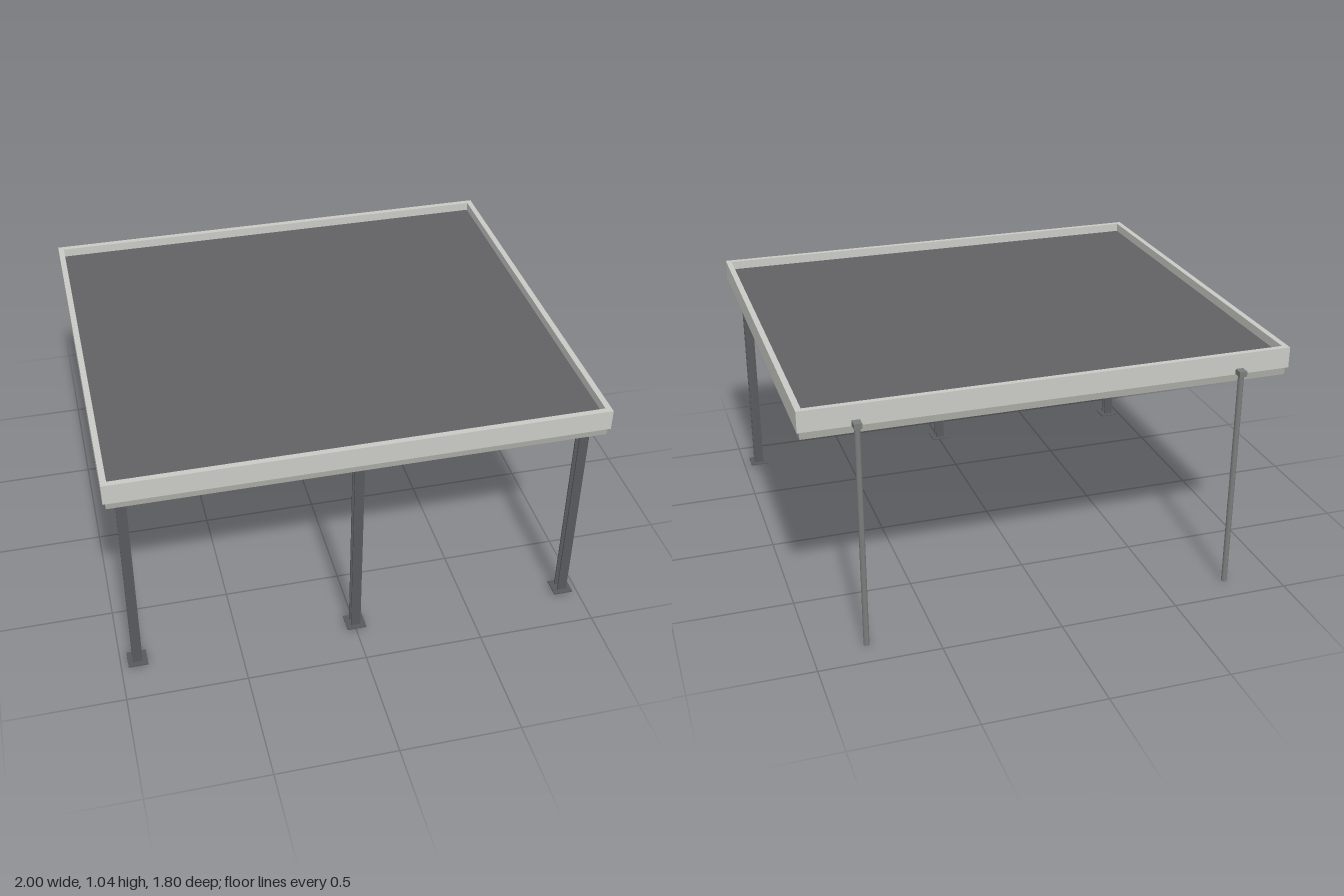
import * as THREE from 'three';

const mat = (name, color) => Object.assign(new THREE.MeshStandardMaterial({ color }), { name });

export function createModel() {
  const root = new THREE.Group();
  root.name = 'canopy';
  const fasciaGrey = mat('fascia light grey', 0xc9c9c5);
  const trimGrey = mat('trim grey', 0xa9a9a3);
  const roofGrey = mat('roof dark grey', 0x616164);
  const steel = mat('column steel', 0x58595c);
  const pipeGrey = mat('pipe grey', 0x7b7c7c);
  const panelGrey = mat('ceiling panel grey', 0xbfbfba);

  const add = (parent, name, geo, material, x = 0, y = 0, z = 0) => {
    const mesh = new THREE.Mesh(geo, material);
    mesh.name = name;
    mesh.position.set(x, y, z);
    parent.add(mesh);
    return mesh;
  };
  // Box given by its min and max along each axis
  const box = (parent, name, material, [x0, x1], [y0, y1], [z0, z1]) =>
    add(parent, name, new THREE.BoxGeometry(x1 - x0, y1 - y0, z1 - z0), material,
      (x0 + x1) / 2, (y0 + y1) / 2, (z0 + z1) / 2);
  const group = (name, x, y, z) => {
    const g = new THREE.Group();
    g.name = name;
    g.position.set(x, y, z);
    root.add(g);
    return g;
  };
  const rect = (Cls, w, d) => new Cls([[-w, -d], [w, -d], [w, d], [-w, d]].map(p => new THREE.Vector2(...p)));

  // Roof: raised fascia frame around a sunken deck, with a lower trim and soffit
  const roofZ = 0.018;
  const frame = rect(THREE.Shape, 1, 0.88);
  frame.holes.push(rect(THREE.Path, 0.976, 0.856));
  const frameGeo = new THREE.ExtrudeGeometry(frame, { depth: 0.087, bevelEnabled: false });
  frameGeo.rotateX(-Math.PI / 2);
  add(root, 'fascia', frameGeo, fasciaGrey, 0, 0.95, roofZ);
  box(root, 'roofDeck', roofGrey, [-0.977, 0.977], [0.952, 1.0], [roofZ - 0.857, roofZ + 0.857]);
  box(root, 'soffit', trimGrey, [-0.99, 0.99], [0.918, 0.951], [roofZ - 0.87, roofZ + 0.87]);

  // Suspended ceiling panel
  box(root, 'ceilingPanel', panelGrey, [-0.84, 0.84], [0.858, 0.864], [-0.7, 0.38]);

  // Front columns: H-section with base plate
  for (const x of [-0.93, 0, 0.93]) {
    const col = group('column', x, 0, 0.805);
    for (const s of [-1, 1])
      box(col, 'flange', steel, [-0.02, 0.02], [0.02, 0.918], [s * 0.0175 - 0.003, s * 0.0175 + 0.003]);
    box(col, 'web', steel, [-0.003, 0.003], [0.02, 0.918], [-0.016, 0.016]);
    box(col, 'basePlate', steel, [-0.041, 0.041], [0.016, 0.021], [-0.041, 0.041]);
  }

  for (const s of [-1, 1]) {
    // Rear downpipe with collector head
    const pipe = group('downpipe', s * 0.78, 0, -0.88);
    add(pipe, 'pipe', new THREE.CylinderGeometry(0.012, 0.012, 0.955, 12), pipeGrey, 0, 0.4775, 0);
    box(pipe, 'collectorHead', pipeGrey, [-0.016, 0.016], [0.952, 0.974], [-0.02, 0.02]);

    // Strip light under the front soffit
    const strip = group('stripLight', s * 0.45, 0, 0.668);
    box(strip, 'housing', steel, [-0.15, 0.15], [0.901, 0.919], [-0.028, 0.028]);
    box(strip, 'lens', panelGrey, [-0.135, 0.135], [0.898, 0.902], [-0.018, 0.018]);

    // Round downlight below the ceiling panel: tapered rim with a recessed lens
    const lamp = group('downlight', s * 0.45, 0.844, -0.16);
    const profile = [[0.034, 0.005], [0.036, 0], [0.041, 0], [0.044, 0.009], [0.053, 0.011], [0.053, 0.015]];
    const rim = new THREE.LatheGeometry(profile.map(p => new THREE.Vector2(...p)), 24).toNonIndexed();
    rim.computeVertexNormals();
    add(lamp, 'rim', rim, fasciaGrey);
    add(lamp, 'lens', new THREE.CylinderGeometry(0.035, 0.035, 0.006, 24), panelGrey, 0, 0.008, 0);
  }
  return root;
}
